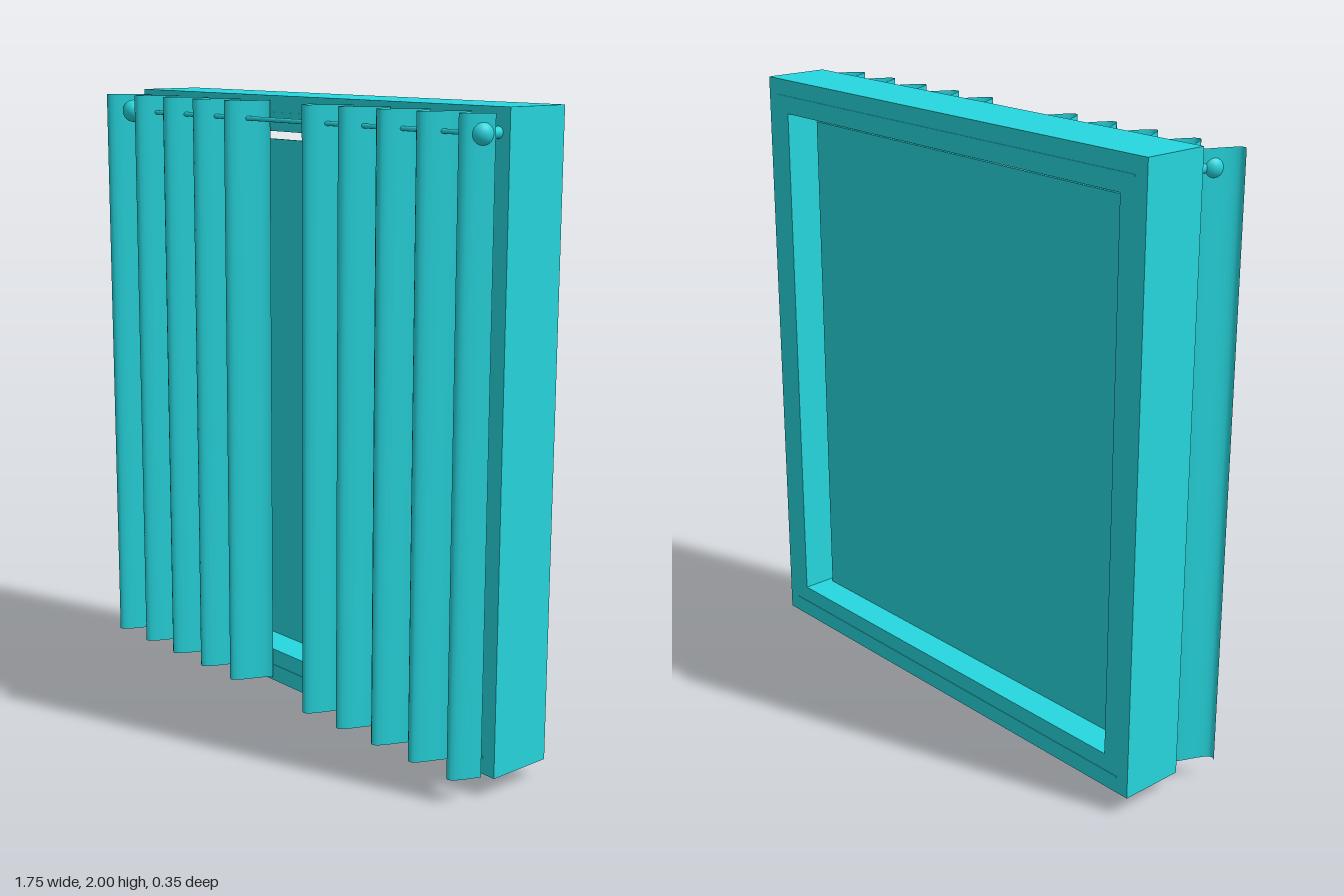
import * as THREE from 'three';

const solid = new THREE.MeshStandardMaterial({ color: 0x26d7df });
const cloth = new THREE.MeshStandardMaterial({ color: 0x26d7df, side: THREE.DoubleSide });

export function createModel() {
  const model = new THREE.Group();

  const add = (name, geometry, x, y, z, material = solid) => {
    const mesh = new THREE.Mesh(geometry, material);
    mesh.name = name;
    mesh.position.set(x, y, z);
    model.add(mesh);
    return mesh;
  };

  const rectangle = (Type, x0, y0, x1, y1) => {
    const r = new Type();
    r.moveTo(x0, y0);
    r.lineTo(x1, y0);
    r.lineTo(x1, y1);
    r.lineTo(x0, y1);
    r.closePath();
    return r;
  };

  // Deep window frame with one large opening
  const back = -0.172, front = 0.045, depth = front - back;
  const outline = rectangle(THREE.Shape, -0.835, 0.06, 0.875, 2);
  outline.holes.push(rectangle(THREE.Path, -0.737, 0.17, 0.777, 1.89));
  add('windowFrame', new THREE.ExtrudeGeometry(outline, { depth, bevelEnabled: false }), 0, 0, back);

  // Fine seam strips along the top and bottom rails
  for (const y of [0.113, 1.945]) {
    add('railSeam', new THREE.BoxGeometry(1.62, 0.006, depth + 0.004), 0.02, y, (back + front) / 2);
  }

  // Thin blind hanging through the bottom rail
  add('blind', new THREE.BoxGeometry(1.477, 1.855, 0.008), 0.018, 0.9275, -0.068);

  // Curtain rod with a ball and a wall bracket at each end
  const rodY = 1.93, rodZ = 0.115, ends = [-0.8, 0.832];
  const rod = add('curtainRod', new THREE.CylinderGeometry(0.007, 0.007, ends[1] - ends[0], 12),
    (ends[0] + ends[1]) / 2, rodY, rodZ);
  rod.rotation.z = Math.PI / 2;
  for (const x of ends) {
    add('rodFinial', new THREE.SphereGeometry(0.037, 24, 16), x, rodY, rodZ);
    const bracket = add('rodBracket', new THREE.CylinderGeometry(0.017, 0.017, rodZ - front, 16),
      x, rodY, (rodZ + front) / 2);
    bracket.rotation.x = Math.PI / 2;
  }

  // Curtains: flat sheets pushed into regular folds
  const period = 0.163, bottom = 0.075, top = 1.985;
  const curtain = (name, x0, x1, crest) => {
    const g = new THREE.PlaneGeometry(x1 - x0, top - bottom, 90, 1);
    const p = g.attributes.position;
    const middle = (x0 + x1) / 2;
    for (let i = 0; i < p.count; i++) {
      const phase = (p.getX(i) + middle - crest) / period * Math.PI * 2;
      p.setZ(i, 0.0615 * Math.cos(phase));
    }
    g.computeVertexNormals();
    add(name, g, middle, (top + bottom) / 2, 0.1135, cloth);
  };
  curtain('rightCurtain', -0.88, -0.14, -0.867);
  curtain('leftCurtain', 0.105, 0.865, 0.162);

  return model;
}
